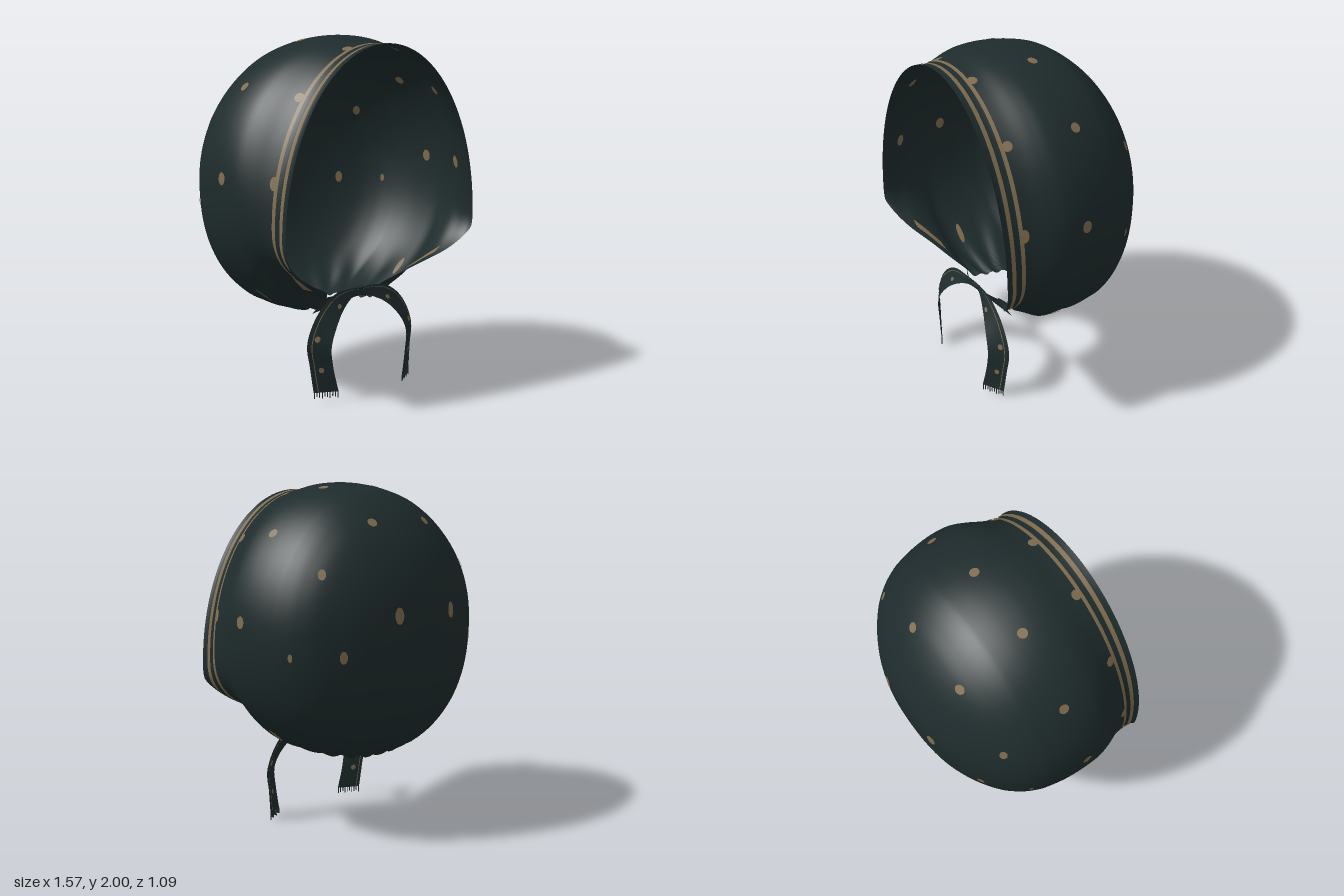
import * as THREE from 'three';
import { mergeVertices } from 'three/addons/utils/BufferGeometryUtils.js';

const cloth = new THREE.MeshStandardMaterial({ color: 0x1e2b2c, side: THREE.DoubleSide });
cloth.name = 'dark green cloth';
const tan = new THREE.MeshStandardMaterial({ color: 0x7f6c4e, side: THREE.DoubleSide });
tan.name = 'tan print';

// Bonnet sections from back to front: z, half width, top, bottom, height of widest point, half width of open gap
const rows = [
  [-0.55, 0, 1.285, 1.28, 1.283, 0],
  [-0.545, 0.1, 1.35, 1.17, 1.27, 0],
  [-0.53, 0.215, 1.445, 0.99, 1.24, 0],
  [-0.49, 0.355, 1.565, 0.815, 1.21, 0],
  [-0.42, 0.495, 1.7, 0.665, 1.2, 0],
  [-0.33, 0.615, 1.815, 0.545, 1.2, 0],
  [-0.24, 0.69, 1.893, 0.475, 1.2, 0],
  [-0.16, 0.732, 1.943, 0.44, 1.2, 0],
  [-0.1, 0.752, 1.965, 0.435, 1.2, 0.13],
  [0, 0.772, 1.987, 0.435, 1.2, 0.19],
  [0.11, 0.78, 1.998, 0.44, 1.2, 0.21],
  [0.21, 0.776, 1.996, 0.465, 1.18, 0.21],
  [0.29, 0.755, 1.985, 0.56, 1.13, 0.21],
  [0.38, 0.718, 1.962, 0.61, 1.07, 0.39],
  [0.46, 0.7, 1.95, 0.63, 1.0, 0.54],
  [0.51, 0.7, 1.953, 0.64, 0.97, 0.64],
  [0.54, 0.71, 1.957, 0.65, 0.95, 0.7],
];
const LAST = rows.length - 1;
const POWER = 2.3;

// Smooth interpolation between the sections
function section(v) {
  const i = Math.min(LAST - 1, Math.max(0, Math.floor(v))), t = v - i;
  const row = (k) => rows[Math.min(LAST, Math.max(0, k))];
  return rows[0].map((_, c) => {
    const [p, q, r, s] = [row(i - 1)[c], row(i)[c], row(i + 1)[c], row(i + 2)[c]];
    return q + 0.5 * t * (r - p + t * (2 * p - 5 * q + 4 * r - s + t * (3 * (q - r) + s - p)));
  });
}

function vAtZ(z) {
  let lo = 0, hi = LAST;
  for (let k = 0; k < 30; k++) {
    const mid = (lo + hi) / 2;
    if (section(mid)[0] < z) lo = mid; else hi = mid;
  }
  return (lo + hi) / 2;
}

// Angle where a section stops: -90 degrees is closed underneath, 0 is the side
function endAngle(v) {
  const s = section(v);
  const ratio = s[1] > 1e-6 ? THREE.MathUtils.clamp(s[5] / s[1], 0, 1) : 0;
  return -Math.acos(Math.pow(ratio, POWER / 2));
}

function point(v, a) {
  const [z, w, top, bottom, mid] = section(v);
  const c = Math.max(0, Math.cos(a)), s = Math.sin(a);
  const e = a < 0 ? 2 / POWER : 1;
  const x = Math.max(0, w) * Math.pow(c, e);
  let y = a < 0 ? mid - (mid - bottom) * Math.pow(-s, e) : mid + (top - mid) * s;
  // Gathers round the neck
  const fade = THREE.MathUtils.smoothstep(0.72 - y, 0, 0.28) * THREE.MathUtils.clamp((0.3 - z) / 0.1, 0, 1)
    * THREE.MathUtils.clamp((z + 0.4) / 0.2, 0, 1);
  y += 0.01 * fade * Math.cos(18 * Math.atan2(z - 0.08, x));
  return new THREE.Vector3(x, y, z);
}

function normalAt(v, a) {
  const d = 0.01, v0 = Math.max(0.05, v - d), v1 = Math.min(LAST, v + d);
  const da = point(v, Math.min(Math.PI / 2, a + d)).sub(point(v, a - d));
  return da.cross(point(v1, a).sub(point(v0, a))).normalize();
}

// Sheet from a grid of points
function sheet(nu, nv, fn) {
  const pos = [], index = [];
  for (let i = 0; i <= nu; i++) {
    for (let j = 0; j <= nv; j++) {
      pos.push(...fn(i / nu, j / nv).toArray());
      if (i < nu && j < nv) {
        const a = i * (nv + 1) + j, c = a + nv + 1;
        index.push(a, a + 1, c, a + 1, c + 1, c);
      }
    }
  }
  let g = new THREE.BufferGeometry();
  g.setAttribute('position', new THREE.Float32BufferAttribute(pos, 3));
  g.setIndex(index);
  g = mergeVertices(g, 1e-5);
  g.computeVertexNormals();
  return g;
}

function add(group, name, geometry, material) {
  const m = new THREE.Mesh(geometry, material);
  m.name = name;
  group.add(m);
  return m;
}

// Point on a whole section, t from one lower end over the top to the other, lifted off the cloth
function across(v, t, lift = 0) {
  const k = 1 - Math.abs(2 * t - 1);
  const a = THREE.MathUtils.lerp(endAngle(v), Math.PI / 2, k);
  const p = point(v, a);
  if (lift) p.addScaledVector(normalAt(v, a), lift);
  if (t > 0.5) p.x *= -1;
  return p;
}

// Printed dots, laid on both faces of the cloth at the nearest point to the target
function addDot(group, x, y, z, r = 0.028, stretch = 1) {
  const target = new THREE.Vector3(x, y, z);
  let best = Infinity, bv = 0, ba = 0;
  for (let v = 0.1; v <= LAST; v += 0.05) {
    for (let a = endAngle(v); a < Math.PI / 2; a += 0.02) {
      const d = point(v, a).distanceToSquared(target);
      if (d < best) { best = d; bv = v; ba = a; }
    }
  }
  for (const side of [1, -1]) {
    for (const lift of [0.004, -0.004]) {
      const n = normalAt(bv, ba), p = point(bv, ba).addScaledVector(n, lift);
      n.x *= side;
      const m = add(group, 'dot', new THREE.CircleGeometry(r, 12), tan);
      m.position.set(p.x * side, p.y, p.z);
      m.scale.y = stretch;
      // Turn the dot to face outwards with its long axis up the cloth
      const across = new THREE.Vector3(0, 1, 0).cross(n).normalize();
      m.quaternion.setFromRotationMatrix(new THREE.Matrix4().makeBasis(across, n.clone().cross(across), n));
    }
  }
}

// Ribbon tie: centre x, y, z and half-width vector x, y, z
const tiePath = [
  [-0.23, 0.5, 0.24, 0.03, 0.045, 0.02],
  [-0.1, 0.54, 0.3, 0, 0.025, 0.01],
  [0.06, 0.56, 0.325, 0.01, 0.025, 0],
  [0.18, 0.53, 0.35, 0.025, 0.04, -0.015],
  [0.285, 0.44, 0.37, 0.045, 0.035, -0.03],
  [0.348, 0.31, 0.38, 0.058, 0.008, -0.036],
  [0.335, 0.18, 0.385, 0.055, 0, -0.034],
  [0.31, 0.035, 0.395, 0.062, 0, -0.034],
];

function makeTie(side) {
  const tie = new THREE.Group();
  tie.name = side > 0 ? 'leftTie' : 'rightTie';
  const rise = side > 0 ? 0 : 0.02, forward = side > 0 ? 0 : 0.012;
  const centre = new THREE.CatmullRomCurve3(tiePath.map((p) => new THREE.Vector3(p[0], p[1], p[2])));
  const half = new THREE.CatmullRomCurve3(tiePath.map((p) => new THREE.Vector3(p[3], p[4], p[5])));
  const at = (t, k, dz = 0) => {
    const p = centre.getPoint(t).addScaledVector(half.getPoint(t), k);
    return p.set(p.x * side, p.y + rise * t, p.z + dz + forward * (1 - t));
  };
  add(tie, 'ribbon', sheet(48, 4, (u, v) => at(u, v * 2 - 1)), cloth);
  for (const dz of [0.005, -0.005]) {
    add(tie, 'ribbonStripe', sheet(48, 1, (u, v) => at(0.2 + 0.8 * u, 0.62 + 0.07 * v, dz)), tan);
    for (const [t, k] of [[0.45, -0.3], [0.68, 0.3], [0.87, 0.1]]) {
      const disc = (u, v) => at(t + 0.017 * v * Math.sin(u * 2 * Math.PI), k + 0.24 * v * Math.cos(u * 2 * Math.PI), dz);
      add(tie, 'ribbonDot', sheet(10, 1, disc), tan);
    }
  }
  // Frayed threads at the end
  for (let i = 0; i < 10; i++) {
    const p = at(1, -0.95 + i * 0.21);
    const length = 0.035 - (i % 3) * 0.006;
    const thread = add(tie, 'fringeThread', new THREE.BoxGeometry(0.004, length, 0.004), cloth);
    thread.position.set(p.x, p.y - length / 2, p.z);
  }
  return tie;
}

export function createModel() {
  const model = new THREE.Group();
  model.name = 'bonnet';
  add(model, 'bonnetShell', sheet(LAST * 6, 128, (u, t) => across(u * LAST, t)), cloth);

  // Two stripes along the brim
  for (const [z0, z1] of [[0.428, 0.449], [0.481, 0.506]]) {
    const v0 = vAtZ(z0), v1 = vAtZ(z1);
    add(model, 'brimStripe', sheet(2, 128, (u, t) => across(THREE.MathUtils.lerp(v0, v1, u), 0.03 + 0.94 * t, 0.004)), tan);
  }
  // Stripes continuing along the cheeks towards the chin, on both faces of the cloth
  for (const side of [1, -1]) {
    for (const lift of [0.005, -0.005]) {
      add(model, 'cheekStripe', sheet(12, 3, (u, t) => {
        const v = vAtZ(0.32 + 0.1 * u), a = endAngle(v) + 0.12 + 0.11 * t;
        const p = point(v, a).addScaledVector(normalAt(v, a), lift);
        p.x *= side;
        return p;
      }), tan);
    }
  }

  // Target position, radius and stretch of each dot
  const dots = new THREE.Group();
  dots.name = 'dots';
  model.add(dots);
  const spots = [
    [0.2, 1.98, 0.06], [0.59, 1.74, 0.05], [0.78, 1.25, 0.1, 0.028, 1.25], [0.21, 1.79, -0.33],
    [0.56, 1.53, -0.31, 0.022, 1.4], [0.205, 1.3, -0.53, 0.029, 1.6], [0.49, 1.1, -0.39, 0.022, 1.6],
    [0.69, 1.09, -0.21, 0.013, 1.8], [0.18, 1.93, 0.415], [0.51, 1.69, 0.415], [0.7, 1.26, 0.425, 0.025, 1.5],
    [0.52, 0.6, 0.12, 0.017, 4],
  ];
  for (const s of spots) addDot(dots, ...s);

  model.add(makeTie(1), makeTie(-1));
  return model;
}
